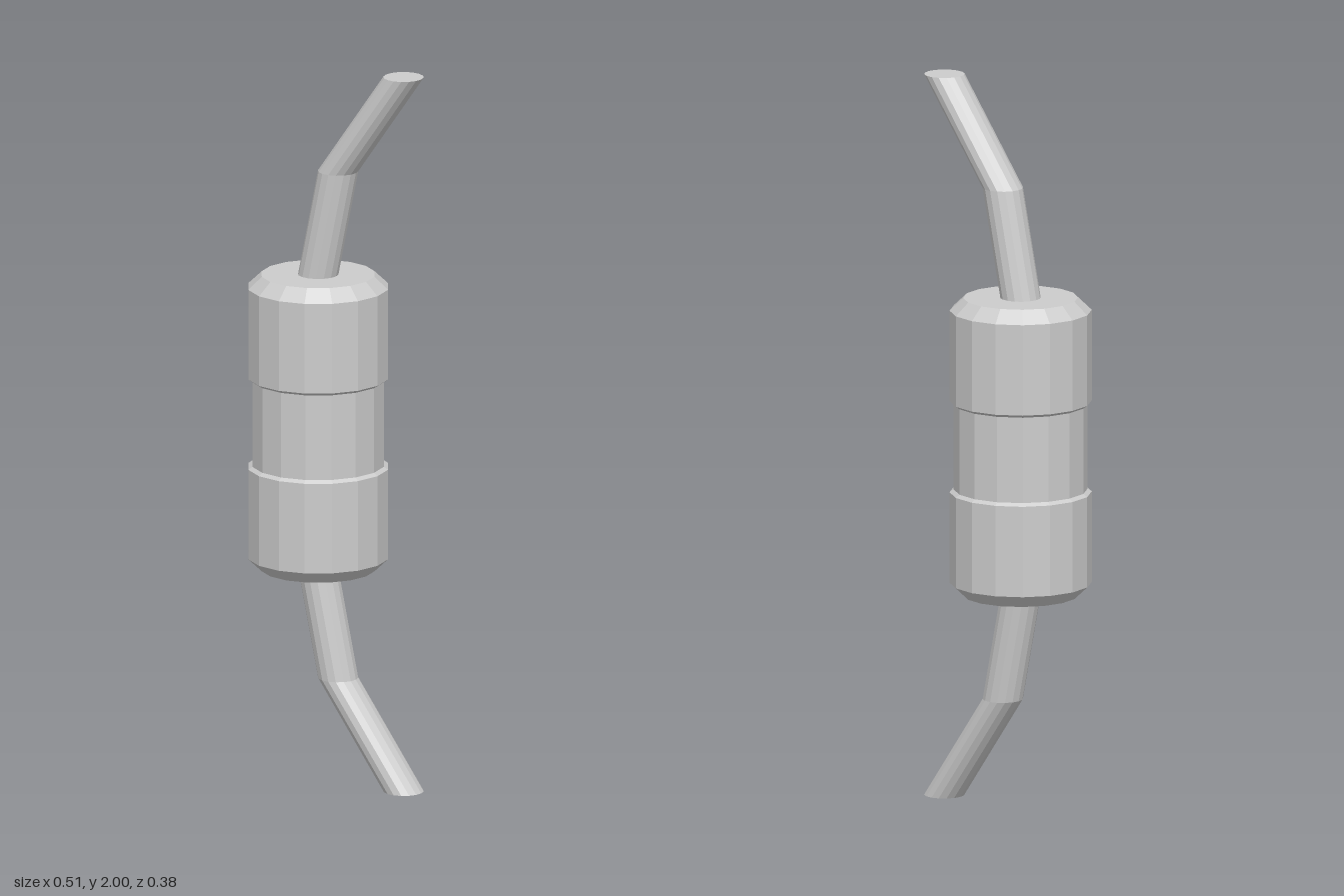
import * as THREE from 'three';

const SIDES = 16;
const BODY_X = -0.065;
const MID_Y = 1.0025;

// Give every facet its own flat normal
function faceted(geometry) {
  const flat = geometry.toNonIndexed();
  flat.computeVertexNormals();
  return flat;
}

// Revolve a bottom-to-top [radius, y] profile about the body axis
function turned(profile) {
  const points = profile.map(([r, y]) => new THREE.Vector2(r, y));
  const geometry = new THREE.LatheGeometry(points, SIDES, THREE.MathUtils.degToRad(-4.5));
  geometry.translate(BODY_X, 0, 0);
  return faceted(geometry);
}

// Bent wire: horizontal circular sections sheared along a bottom-to-top [x, y] path
function bentWire(path, radius) {
  const geometry = new THREE.CylinderGeometry(radius, radius, 1, SIDES, path.length - 1);
  const position = geometry.attributes.position;
  for (let i = 0; i < position.count; i++) {
    const row = Math.round((position.getY(i) + 0.5) * (path.length - 1));
    position.setX(i, position.getX(i) + path[row][0]);
    position.setY(i, path[row][1]);
  }
  return faceted(geometry);
}

export function createModel() {
  const model = new THREE.Group();
  model.name = 'axialComponent';
  const grey = new THREE.MeshStandardMaterial({ color: 0xcccccc, flatShading: true });
  grey.name = 'lightGrey';

  const add = (name, geometry) => {
    const mesh = new THREE.Mesh(geometry, grey);
    mesh.name = name;
    model.add(mesh);
  };

  // Narrow middle of the body
  add('bodySleeve', turned([[0.182, 0.87], [0.182, 1.135]]));

  // Wider end caps with a chamfered outer rim
  const cap = [[0, 0.59], [0.156, 0.59], [0.193, 0.625], [0.193, 0.876], [0.182, 0.884]];
  const flip = ([r, y]) => [r, 2 * MID_Y - y];
  add('lowerCap', turned(cap));
  add('upperCap', turned(cap.map(flip).reverse()));

  // Leads, bent once and cut off level
  add('lowerLead', bentWire([[0.2, 0], [-0.003, 0.293], [BODY_X, 0.592]], 0.055));
  add('upperLead', bentWire([[BODY_X, 1.413], [-0.003, 1.712], [0.2, 2]], 0.055));

  return model;
}
